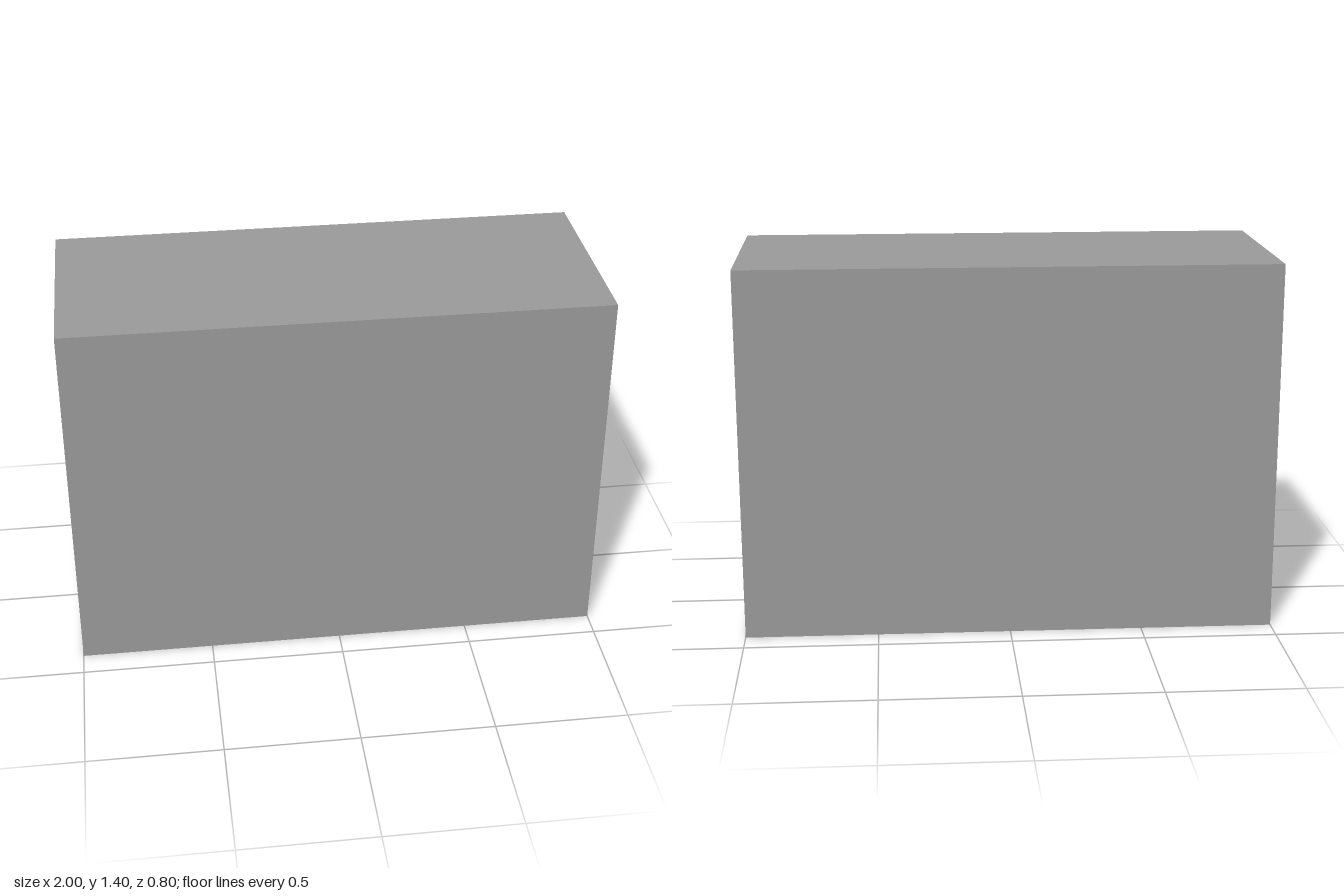
import * as THREE from 'three';

const W = 2, H = 1.4, D = 0.8, T = 0.036;

export function createModel() {
  const model = new THREE.Group();
  const shellMat = new THREE.MeshStandardMaterial({ color: 0x9b9b9b });
  const unitMat = new THREE.MeshStandardMaterial({ color: 0xcccccc });

  const addBox = (parent, name, mat, size, pos) => {
    const mesh = new THREE.Mesh(new THREE.BoxGeometry(...size), mat);
    mesh.name = name;
    mesh.position.set(...pos);
    parent.add(mesh);
    return mesh;
  };

  // Outer sleeve: a rectangular tube open at both ends
  const outline = new THREE.Shape([
    new THREE.Vector2(-D / 2, 0), new THREE.Vector2(D / 2, 0),
    new THREE.Vector2(D / 2, H), new THREE.Vector2(-D / 2, H),
  ]);
  const a = D / 2 - T;
  outline.holes.push(new THREE.Path([
    new THREE.Vector2(-a, T), new THREE.Vector2(-a, H - T),
    new THREE.Vector2(a, H - T), new THREE.Vector2(a, T),
  ]));
  const sleeveGeo = new THREE.ExtrudeGeometry(outline, { depth: W, bevelEnabled: false });
  sleeveGeo.translate(0, 0, -W / 2).rotateY(Math.PI / 2);
  const sleeve = new THREE.Mesh(sleeveGeo, shellMat);
  sleeve.name = 'sleeve';
  model.add(sleeve);

  // Long housing along the upper back wall
  const unit = new THREE.Group();
  unit.name = 'ventUnit';
  model.add(unit);
  const top = 1.355, bottom = 1.19, front = -0.13, back = -0.362;
  addBox(unit, 'housing', unitMat, [W, top - bottom, front - back],
    [0, (top + bottom) / 2, (front + back) / 2]);

  // Slanted louvres on the housing's front
  for (let i = 0; i < 4; i++) {
    const slat = addBox(unit, 'louvre', unitMat, [1.5, 0.032, 0.004],
      [0, 1.335 - i * 0.041, front + 0.004]);
    slat.rotation.x = -0.3;
  }
  return model;
}
